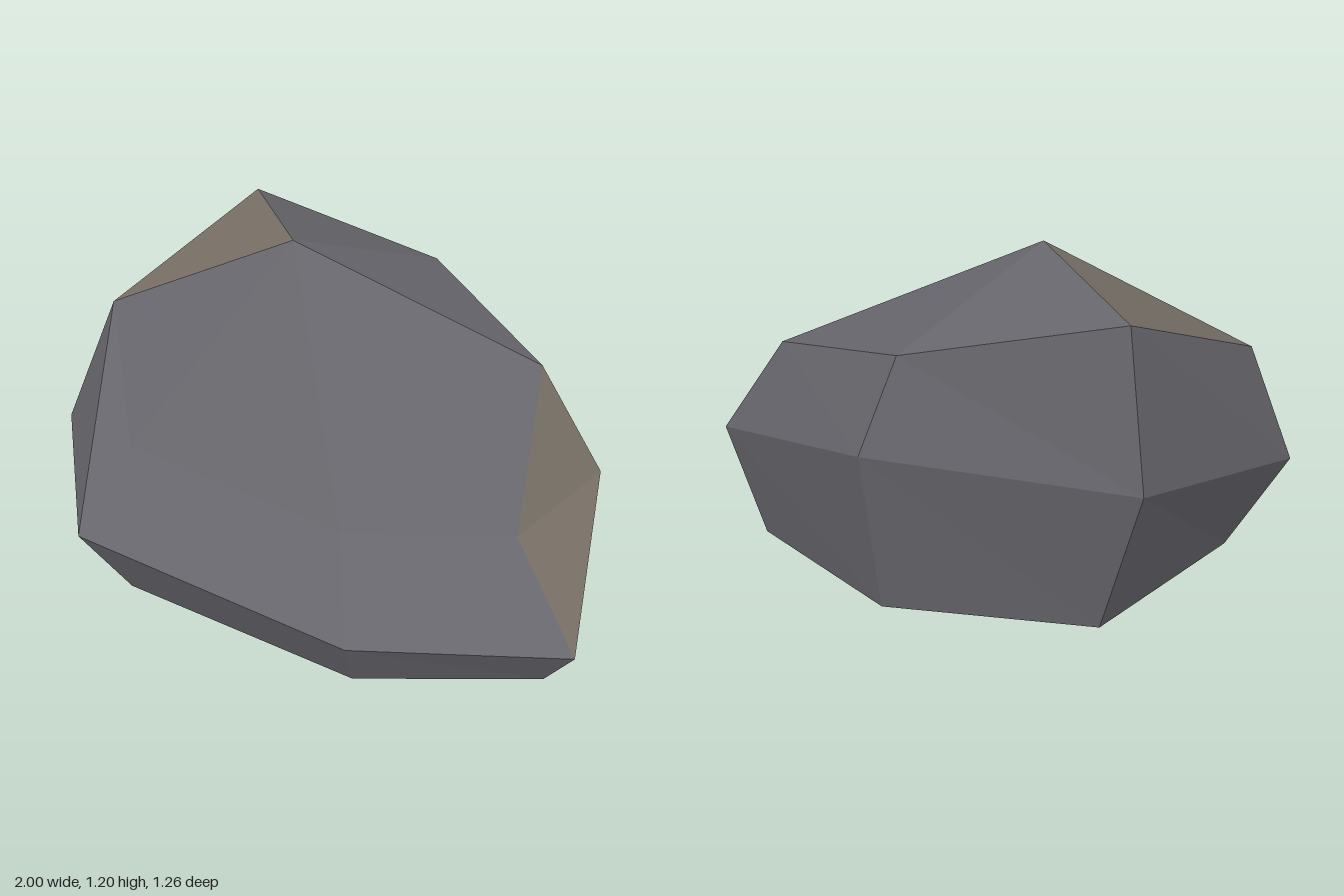
import * as THREE from 'three';

// Faceted boulder: three seven-sided rings of cross-section, an apex and a flat underside
const base = [
  [-0.82, 0, 0.2], [-0.53, 0, 0.53], [0.36, 0, 0.505], [0.9, 0, 0.19],
  [0.75, 0, -0.3], [0.19, 0, -0.53], [-0.52, 0, -0.38],
];
const middle = [
  [-1, 0.39, 0.23], [-0.65, 0.26, 0.63], [0.38, 0.225, 0.59], [1, 0.18, 0.22],
  [0.83, 0.467, -0.355], [0.19, 0.665, -0.63], [-0.65, 0.614, -0.47],
];
const upper = [
  [-0.84, 0.86, 0.1], [-0.58, 0.52, 0.39], [0.23, 0.48, 0.37], [0.72, 0.465, 0.09],
  [0.59, 0.83, -0.33], [0.09, 0.985, -0.54], [-0.565, 1.14, -0.415],
];
const apex = [-0.2, 1.195, -0.07];
const floor = [0, 0, 0];
const SIDES = base.length;

// Two triangles joining side i of a lower ring to the ring above it
function bandSide(low, high, i) {
  const j = (i + 1) % SIDES;
  return [low[i], low[j], high[i], high[i], low[j], high[j]];
}

function facets(name, corners, material) {
  const geometry = new THREE.BufferGeometry();
  geometry.setAttribute('position', new THREE.Float32BufferAttribute(corners.flat(), 3));
  geometry.computeVertexNormals();
  const mesh = new THREE.Mesh(geometry, material);
  mesh.name = name;
  return mesh;
}

export function createModel() {
  const stone = new THREE.MeshStandardMaterial({ color: 0x66666c });
  stone.name = 'greyStone';
  const earth = new THREE.MeshStandardMaterial({ color: 0x7a7268 });
  earth.name = 'brownStone';

  const skirt = [], slopes = [], cap = [], underside = [], brownSlope = [], brownCap = [];
  for (let i = 0; i < SIDES; i++) {
    const j = (i + 1) % SIDES;
    skirt.push(...bandSide(base, middle, i));
    // One slope and one cap facet are brown
    (i === 3 ? brownSlope : slopes).push(...bandSide(middle, upper, i));
    (i === 6 ? brownCap : cap).push(upper[i], upper[j], apex);
    underside.push(floor, base[j], base[i]);
  }

  const rock = new THREE.Group();
  rock.name = 'rock';
  rock.add(
    facets('lowerSides', skirt, stone),
    facets('upperSlopes', slopes, stone),
    facets('topFacets', cap, stone),
    facets('underside', underside, stone),
    facets('brownSideFacets', brownSlope, earth),
    facets('brownTopFacet', brownCap, earth),
  );
  return rock;
}
